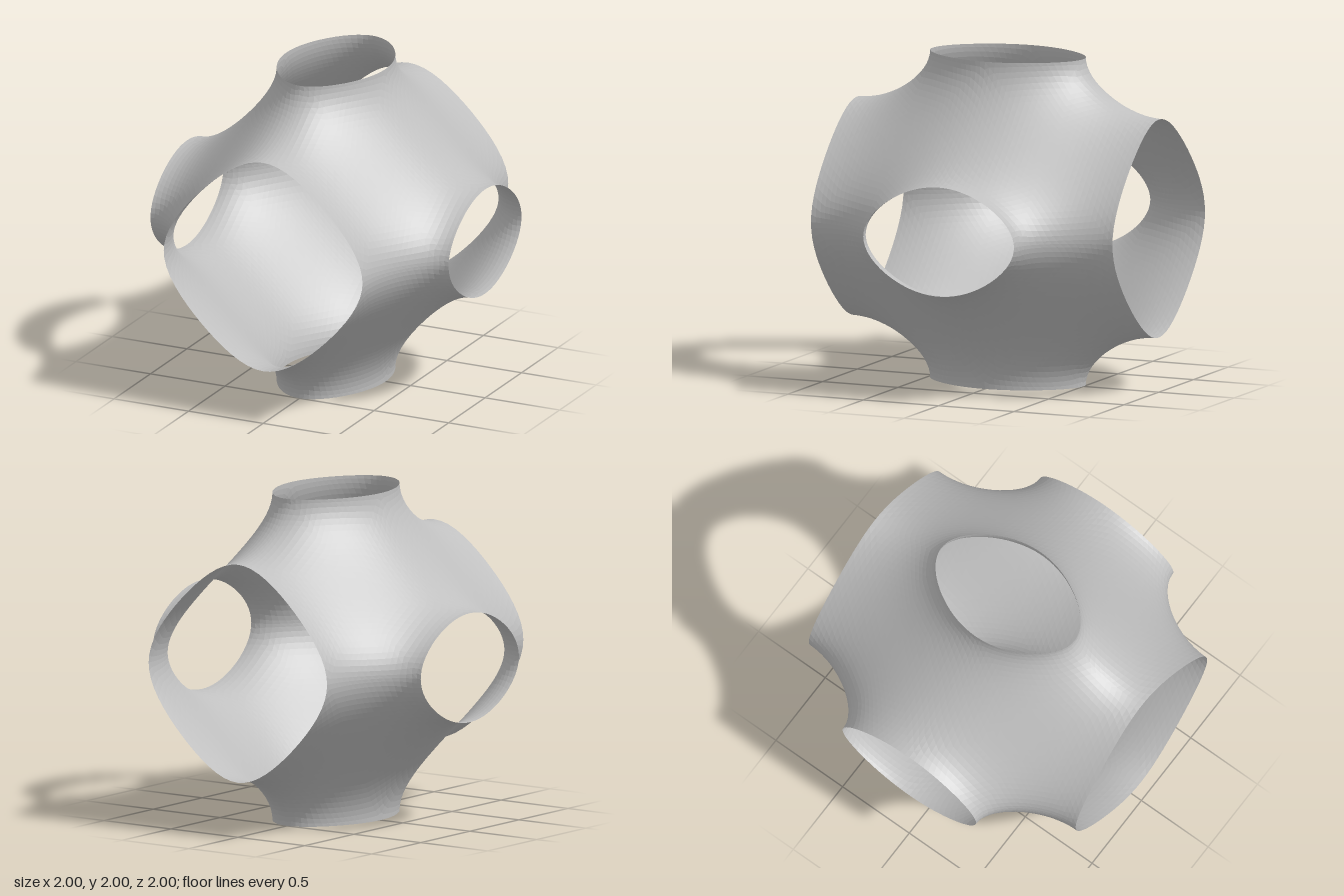
import * as THREE from 'three';
import { mergeGeometries } from 'three/addons/utils/BufferGeometryUtils.js';

const N = 16; // rings of triangles in each octant patch
const WEIGHT = new THREE.Vector3(1, 1, 0.5);

// Slide a point along the gradient onto cos(pi x) + cos(pi y) + 0.5 cos(pi z) = 0
function project(p) {
  const g = new THREE.Vector3();
  for (let n = 0; n < 12; n++) {
    let f = 0;
    for (const a of ['x', 'y', 'z']) {
      f += WEIGHT[a] * Math.cos(Math.PI * p[a]);
      g[a] = -WEIGHT[a] * Math.PI * Math.sin(Math.PI * p[a]);
    }
    p.addScaledVector(g, -f / Math.max(g.lengthSq(), 1e-6));
  }
  return p;
}

// Six-sided patch filling the positive octant, in triangular sectors around its centre
function octantTriangles() {
  const centre = new THREE.Vector3(0.5, 0.5, 0.5);
  const corners = [
    [0, 2 / 3, 1], [2 / 3, 0, 1], [1, 0, 0.5],
    [1, 1 / 3, 0], [1 / 3, 1, 0], [0, 1, 0.5],
  ].map((c) => new THREE.Vector3(...c));
  const triangles = [];
  corners.forEach((a, s) => {
    const b = corners[(s + 1) % 6];
    const at = (k, i) => {
      const edge = a.clone().lerp(b, k ? i / k : 0);
      return project(centre.clone().lerp(edge, k / N));
    };
    for (let k = 0; k < N; k++) {
      for (let i = 0; i <= k; i++) {
        triangles.push([at(k, i), at(k + 1, i), at(k + 1, i + 1)]);
        if (i < k) triangles.push([at(k, i), at(k + 1, i + 1), at(k, i + 1)]);
      }
    }
  });
  return triangles;
}

// Mirror the patch into one octant, keeping its faces turned outward
function mirrored(triangles, sx, sy, sz) {
  const points = [];
  for (const [a, b, c] of triangles) {
    const order = sx * sy * sz > 0 ? [a, b, c] : [a, c, b];
    for (const p of order) points.push(new THREE.Vector3(p.x * sx, p.y * sy, p.z * sz));
  }
  return new THREE.BufferGeometry().setFromPoints(points);
}

export function createModel() {
  const model = new THREE.Group();
  model.name = 'minimalSurface';

  const grey = new THREE.MeshStandardMaterial({
    color: 0xbfbfbf, side: THREE.DoubleSide, flatShading: true,
  });
  grey.name = 'grey';

  const patch = octantTriangles();
  const pieces = [];
  for (const sx of [1, -1]) {
    for (const sy of [1, -1]) {
      for (const sz of [1, -1]) pieces.push(mirrored(patch, sx, sy, sz));
    }
  }

  // Open shell with a round mouth on each of its six sides
  const geometry = mergeGeometries(pieces);
  geometry.translate(0, 1, 0);
  geometry.computeVertexNormals();
  const shell = new THREE.Mesh(geometry, grey);
  shell.name = 'shell';
  model.add(shell);
  return model;
}
